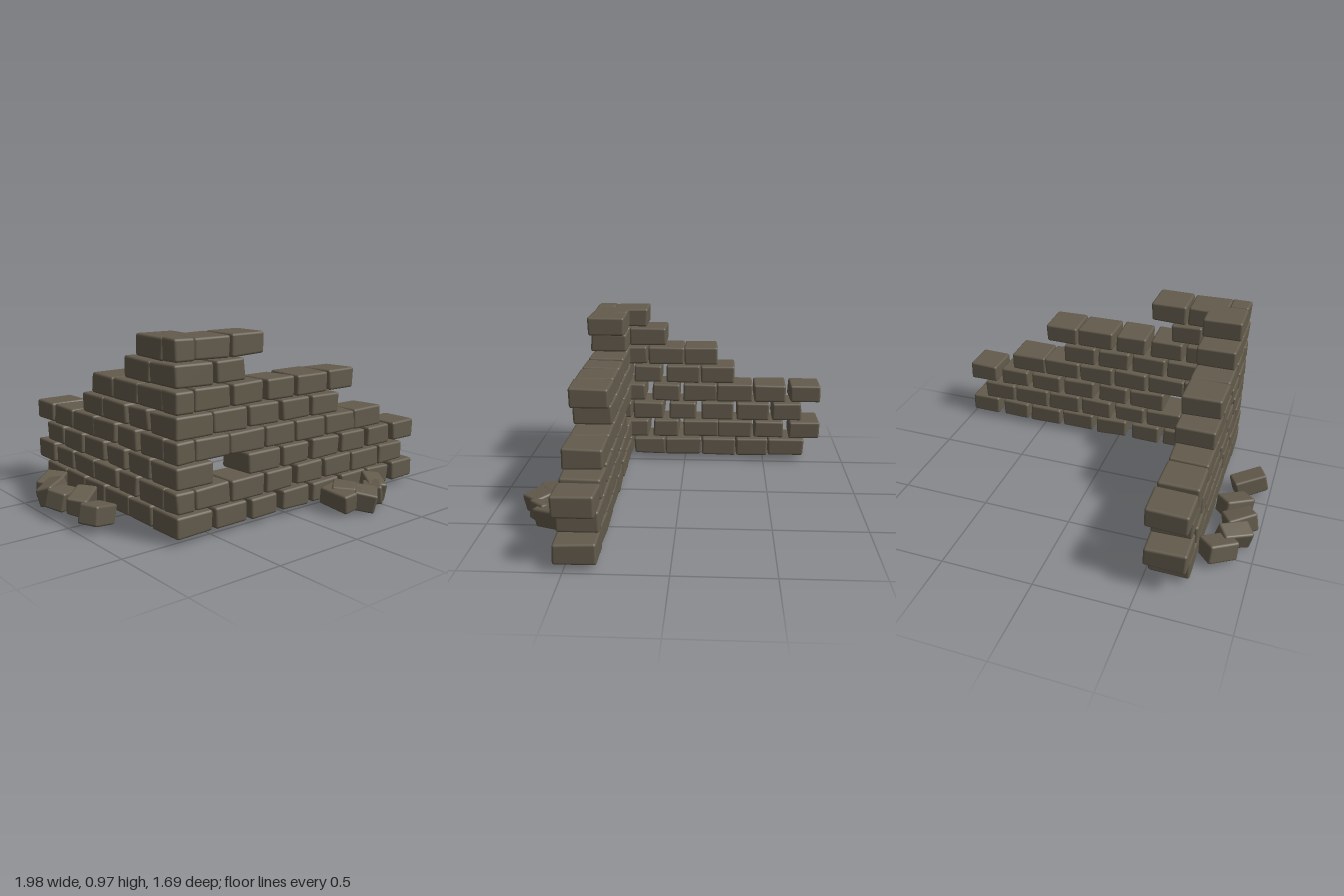
import * as THREE from 'three';
import { RoundedBoxGeometry } from 'three/addons/geometries/RoundedBoxGeometry.js';

// Small seeded generator for the worn, uneven bricks
function seeded(seed) {
  return () => {
    seed = (seed * 16807) % 2147483647;
    return seed / 2147483647;
  };
}

export function createModel() {
  const stone = new THREE.MeshStandardMaterial({ color: 0x635b4c });
  stone.name = 'weathered stone';
  const rand = seeded(4711);

  // A softly bevelled block whose eight corners are nudged a little
  function makeBrick(name, w, h, d) {
    const geo = new RoundedBoxGeometry(w, h, d, 2, 0.013);
    const nudge = Array.from({ length: 8 }, () =>
      new THREE.Vector3(rand() - 0.5, rand() - 0.5, rand() - 0.5).multiplyScalar(0.007));
    const pos = geo.attributes.position;
    for (let i = 0; i < pos.count; i++) {
      const corner = (pos.getX(i) > 0 ? 1 : 0) + (pos.getY(i) > 0 ? 2 : 0) + (pos.getZ(i) > 0 ? 4 : 0);
      const n = nudge[corner];
      pos.setXYZ(i, pos.getX(i) + n.x, pos.getY(i) + n.y, pos.getZ(i) + n.z);
    }
    const mesh = new THREE.Mesh(geo, stone);
    mesh.name = name;
    return mesh;
  }

  // Brick filling a box given by its limits
  function brickBetween(name, x0, x1, y0, y1, z0, z1) {
    const mesh = makeBrick(name, x1 - x0, y1 - y0, z1 - z0);
    mesh.position.set((x0 + x1) / 2, (y0 + y1) / 2, (z0 + z1) / 2);
    return mesh;
  }

  const model = new THREE.Group();
  model.name = 'ruinedCornerWall';
  const frontWall = new THREE.Group();
  frontWall.name = 'frontWall';
  const sideWall = new THREE.Group();
  sideWall.name = 'sideWall';
  const cornerStones = new THREE.Group();
  cornerStones.name = 'cornerStones';
  const rubble = new THREE.Group();
  rubble.name = 'rubble';
  model.add(frontWall, sideWall, cornerStones, rubble);

  const left = -0.73, inner = -0.515, front = 0.55, back = 0.34;
  const rowY = (row) => 0.04 + row * 0.1186;
  const brickHeight = 0.108;

  // Front wall: start and end of each brick along x, lowest course first
  const frontCourses = [
    [[-0.5, -0.3], [-0.27, -0.1], [-0.06, 0.13], [0.16, 0.36], [0.38, 0.58], [0.6, 0.77], [0.81, 0.99]],
    [[-0.62, -0.41], [-0.4, -0.19], [-0.17, 0.01], [0.04, 0.23], [0.25, 0.45], [0.46, 0.68], [0.69, 0.89]],
    [[-0.29, -0.08], [-0.06, 0.12], [0.15, 0.35], [0.37, 0.56], [0.59, 0.77], [0.81, 0.99]],
    [[-0.62, -0.41], [-0.41, -0.19], [-0.18, 0.02], [0.03, 0.24], [0.25, 0.47], [0.47, 0.69]],
    [[-0.51, -0.3], [-0.29, -0.09], [-0.07, 0.12], [0.14, 0.34]],
    [[-0.62, -0.41], [-0.39, -0.2], [-0.17, 0.01], [0.03, 0.25], [0.26, 0.45]],
    [[-0.49, -0.32]],
    [[-0.62, -0.41], [-0.4, -0.2]],
  ];

  // Side wall: front and back of each brick along z, lowest course first
  const sideCourses = [
    [[0.325, 0.125], [0.125, -0.105], [-0.11, -0.32], [-0.325, -0.525], [-0.53, -0.755]],
    [[0.44, 0.23], [0.2, 0.04], [0.01, -0.21], [-0.21, -0.425], [-0.44, -0.625], [-0.66, -0.85]],
    [[0.325, 0.135], [0.1, -0.07], [-0.105, -0.305], [-0.325, -0.53], [-0.55, -0.735]],
    [[0.44, 0.25], [0.205, 0.035], [0.01, -0.2], [-0.2, -0.425], [-0.435, -0.635], [-0.66, -0.85]],
    [[0.315, 0.145], [0.115, -0.095], [-0.1, -0.31]],
    [[0.44, 0.235], [0.23, 0.005], [0.005, -0.2]],
    [[0.34, 0.115]],
    [[0.44, 0.23]],
  ];

  for (let row = 0; row < 8; row++) {
    const y0 = rowY(row), y1 = y0 + brickHeight;
    for (const [x0, x1] of frontCourses[row])
      frontWall.add(brickBetween('frontBrick', x0, x1, y0, y1, back, front));
    for (const [z1, z0] of sideCourses[row])
      sideWall.add(brickBetween('sideBrick', left, inner, y0, y1, z0, z1));
    // Full corner block on even courses, small filler on odd ones
    const odd = row % 2 === 1;
    cornerStones.add(brickBetween('cornerStone', left, odd ? -0.62 : inner, y0, y1, odd ? 0.44 : back, front));
  }

  // Fallen bricks: x, y, z, width, height, depth, turn, tilt x, tilt z (degrees)
  const fallen = [
    [-0.825, 0.075, -0.515, 0.17, 0.105, 0.12, 42, 8, 8],
    [-0.885, 0.08, -0.395, 0.17, 0.105, 0.1, 33, -14, 8],
    [-0.89, 0.075, -0.27, 0.165, 0.105, 0.115, 32, 10, -6],
    [-0.84, 0.08, -0.145, 0.175, 0.105, 0.11, 43, 8, 10],
    [-0.88, 0.08, 0.08, 0.185, 0.105, 0.115, 28, 4, -12],
    [0.255, 0.085, 0.67, 0.16, 0.1, 0.18, 3, 6, 5],
    [0.29, 0.09, 0.645, 0.14, 0.105, 0.13, 42, 5, 4],
    [0.345, 0.075, 0.74, 0.15, 0.105, 0.125, 42, 10, 5],
    [0.535, 0.08, 0.635, 0.18, 0.105, 0.11, 56, 8, 8],
    [0.465, 0.075, 0.7, 0.13, 0.1, 0.1, 40, -8, 5],
  ];
  const rad = THREE.MathUtils.degToRad;
  for (const [x, y, z, w, h, d, turn, tiltX, tiltZ] of fallen) {
    const brick = makeBrick('fallenBrick', w, h, d);
    brick.rotation.set(rad(tiltX), rad(turn), rad(tiltZ), 'YXZ');
    brick.position.set(x, y, z);
    rubble.add(brick);
  }

  return model;
}
